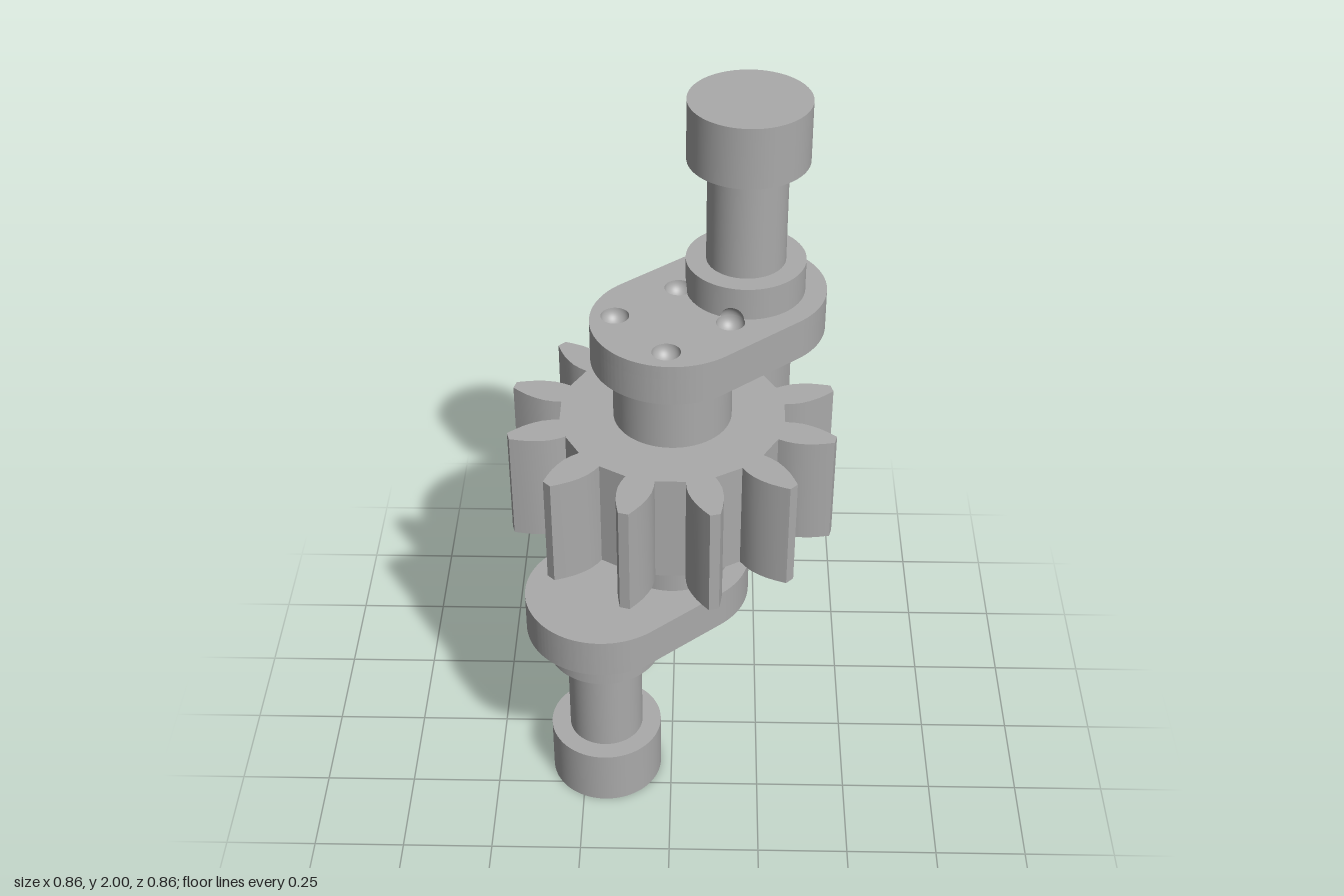
import * as THREE from 'three';
import { toCreasedNormals } from 'three/addons/utils/BufferGeometryUtils.js';
import { ParametricGeometry } from 'three/addons/geometries/ParametricGeometry.js';

const PIN_X = 0.188, PIN_Z = -0.158;   // upper crank pin; the lower one is opposite
const JOURNAL_R = 0.157, CRANK_R = 0.214;
const DIMPLE_R = 0.037;
const CRANK_TOP = 1.455, COLLAR_TOP = 1.545;

export function createModel() {
  const model = new THREE.Group();
  model.name = 'gearCrankshaft';
  const steel = new THREE.MeshStandardMaterial({ color: 0xaaaaaa });
  steel.name = 'grey steel';

  const add = (name, geometry, x = 0, y = 0, z = 0) => {
    const mesh = new THREE.Mesh(geometry, steel);
    mesh.name = name;
    mesh.position.set(x, y, z);
    model.add(mesh);
    return mesh;
  };
  const rod = (name, r, y0, y1, x = 0, z = 0) =>
    add(name, new THREE.CylinderGeometry(r, r, y1 - y0, 96), x, (y0 + y1) / 2, z);
  // Plan outline (x, -z) raised from y0 to y1
  const slab = (name, shape, y0, y1) => {
    const g = new THREE.ExtrudeGeometry(shape, { depth: y1 - y0, bevelEnabled: false, curveSegments: 48 });
    g.rotateX(-Math.PI / 2);
    return add(name, toCreasedNormals(g, 0.45), 0, y0, 0);
  };

  // Main shaft
  rod('mainShaft', JOURNAL_R, 0.66, 1.345);

  // Gear with twelve curved teeth: [distance along tooth, half width]
  const flank = [[0.298, 0.0388], [0.32, 0.043], [0.345, 0.0445], [0.37, 0.041],
    [0.395, 0.0345], [0.42, 0.0245], [0.443, 0.0135]];
  const outline = [];
  for (let i = 0; i < 12; i++) {
    const a = (i + 0.5) * Math.PI / 6, c = Math.cos(a), s = Math.sin(a);
    const point = (d, w) => outline.push(new THREE.Vector2(d * c - w * s, d * s + w * c));
    flank.forEach(([d, w]) => point(d, -w));
    [...flank].reverse().forEach(([d, w]) => point(d, w));
  }
  slab('gear', new THREE.Shape(outline), 0.845, 1.16);

  // Crank webs: rounded link between the shaft axis and a pin
  const webShape = (px, py) => {
    const a = Math.atan2(py, px), q = Math.PI / 2;
    const s = new THREE.Shape();
    s.absarc(0, 0, CRANK_R, a + q, a + 3 * q, false);
    s.absarc(px, py, CRANK_R, a - q, a + q, false);
    s.closePath();
    return s;
  };
  slab('lowerCrank', webShape(-PIN_X, PIN_Z), 0.55, 0.665);
  slab('upperCrank', webShape(PIN_X, -PIN_Z), 1.34, CRANK_TOP - DIMPLE_R - 0.001);

  // Top layer of the upper web, pierced for the four dimples
  const dimples = [];
  for (let i = 0; i < 4; i++) {
    const a = 0.087 - Math.PI / 2 * i;
    dimples.push([0.149 * Math.cos(a), 0.149 * Math.sin(a)]);
  }
  const face = webShape(PIN_X, -PIN_Z);
  dimples.forEach(([x, z]) => {
    const hole = new THREE.Path();
    hole.absarc(x, -z, DIMPLE_R, 0, Math.PI * 2, true);
    face.holes.push(hole);
  });
  slab('upperCrankFace', face, CRANK_TOP - DIMPLE_R - 0.001, CRANK_TOP);

  // Hemispherical dimples, facing inwards
  const bowl = [];
  for (let i = 0; i <= 12; i++) {
    const t = i / 12 * Math.PI / 2;
    bowl.push(new THREE.Vector2(DIMPLE_R * Math.cos(t), -DIMPLE_R * Math.sin(t)));
  }
  dimples.forEach(([x, z]) => add('dimple', new THREE.LatheGeometry(bowl, 48), x, CRANK_TOP, z));

  // Upper collar: its lower rim is lifted where a dimple bites into it
  const h = COLLAR_TOP - CRANK_TOP;
  const wall = new THREE.CylinderGeometry(JOURNAL_R, JOURNAL_R, h, 256, 1, true);
  wall.translate(0, h / 2, 0);
  const p = wall.attributes.position;
  for (let i = 0; i < p.count; i++) {
    if (p.getY(i) > h / 2) continue;
    dimples.forEach(([x, z]) => {
      const d = Math.hypot(p.getX(i) + PIN_X - x, p.getZ(i) + PIN_Z - z);
      if (d < DIMPLE_R) p.setY(i, Math.sqrt(DIMPLE_R ** 2 - d ** 2));
    });
  }
  add('upperCollarWall', wall, PIN_X, CRANK_TOP, PIN_Z);
  const cap = new THREE.CircleGeometry(JOURNAL_R, 96);
  cap.rotateX(-Math.PI / 2);
  add('upperCollarTop', cap, PIN_X, COLLAR_TOP, PIN_Z);

  // Rounded notches inside the collar above the dimples that reach it
  dimples.forEach(([x, z]) => {
    const dist = Math.hypot(PIN_X - x, PIN_Z - z), gap = dist - JOURNAL_R;
    if (gap >= DIMPLE_R) return;
    const towards = Math.atan2(z - PIN_Z, PIN_X - x);
    const top = Math.sqrt(DIMPLE_R ** 2 - gap ** 2);
    const notch = new ParametricGeometry((u, v, target) => {
      const y = u * top, r = Math.sqrt(DIMPLE_R ** 2 - y * y);
      const c = (r * r + dist * dist - JOURNAL_R ** 2) / (2 * r * dist);
      const a = towards + (2 * v - 1) * Math.acos(Math.min(1, c));
      target.set(r * Math.cos(a), y, -r * Math.sin(a));
    }, 16, 16);
    add('collarNotch', notch, x, CRANK_TOP, z);
  });

  // Upper crank pin
  rod('upperPin', 0.104, COLLAR_TOP - 0.005, 1.84, PIN_X, PIN_Z);
  rod('upperPinHead', JOURNAL_R, 1.835, 2, PIN_X, PIN_Z);

  // Lower crank pin
  rod('lowerCollar', JOURNAL_R, 0.46, 0.552, -PIN_X, -PIN_Z);
  rod('lowerPin', 0.104, 0.165, 0.465, -PIN_X, -PIN_Z);
  rod('lowerPinHead', JOURNAL_R, 0, 0.17, -PIN_X, -PIN_Z);

  return model;
}
